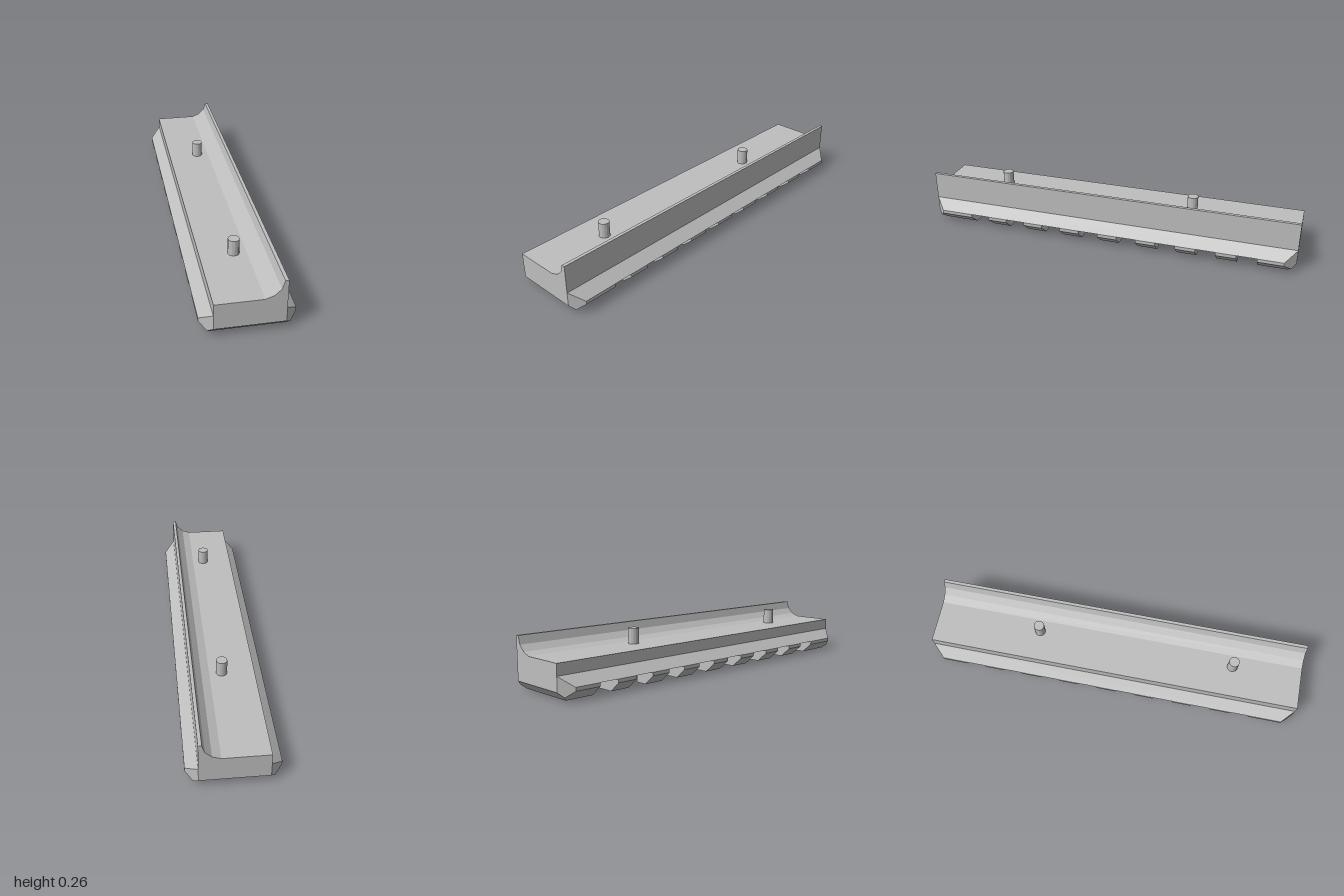
import * as THREE from 'three';
import { ConvexGeometry } from 'three/addons/geometries/ConvexGeometry.js';

const W = 0.164;      // half width of the body
const R = 0.222;      // half width of the rail
const ROOF = 0.068;   // top of the cross slots
const SEAT = 0.095;   // ceiling of the screw recesses
const SCREWS = [0.63, -0.43];

export function createModel() {
  const group = new THREE.Group();
  group.name = 'accessoryRail';
  const grey = new THREE.MeshStandardMaterial({ color: 0xbebebe });
  grey.name = 'grey';
  grey.flatShading = true;

  const add = (name, geometry) => {
    const mesh = new THREE.Mesh(geometry, grey);
    mesh.name = name;
    group.add(mesh);
    return mesh;
  };
  const shapeOf = (pts) => new THREE.Shape(pts.map(([x, y]) => new THREE.Vector2(x, y)));
  // Cross-section in x, y carried from z0 to z1
  const alongZ = (pts, z0, z1) =>
    new THREE.ExtrudeGeometry(shapeOf(pts), { depth: z1 - z0, bevelEnabled: false }).translate(0, 0, z0);
  // Plan shape (drawn in x, -z) raised from y0 to y1
  const upward = (shape, y0, y1) =>
    new THREE.ExtrudeGeometry(shape, { depth: y1 - y0, bevelEnabled: false, curveSegments: 12 })
      .rotateX(-Math.PI / 2).translate(0, y0, 0);
  const circle = (x, y, r) => new THREE.Path().absarc(x, y, r, 0, Math.PI * 2, true);
  const convex = (pts) => new ConvexGeometry(pts.map((p) => new THREE.Vector3(...p)));

  // Body with the curved lip along its left edge
  add('body', alongZ([
    [-W, SEAT], [W, SEAT], [W, 0.262], [0.147, 0.262], [0.134, 0.22],
    [0.103, 0.19], [0.062, 0.175], [-W, 0.175],
  ], -1, 1));

  // Underside layer with round screw recesses
  const base = shapeOf([[-W, -1], [W, -1], [W, 1], [-W, 1]]);
  SCREWS.forEach((z) => base.holes.push(circle(0, -z, 0.066)));
  add('underside', upward(base, ROOF, SEAT));

  // Sloping side wings with clipped corners
  for (const s of [1, -1]) {
    const pts = [];
    for (const e of [1, -1]) {
      pts.push([s * W, 0.117, e], [s * W, ROOF, e], [s * R, ROOF, e * 0.942]);
    }
    add(s > 0 ? 'leftWing' : 'rightWing', convex(pts));
  }

  // End teeth, chamfered at the corners and the bottom edge
  for (const [e, inner] of [[1, 0.766], [-1, -0.809]]) {
    const pts = [];
    for (const s of [1, -1]) {
      pts.push(
        [s * W, ROOF, e], [s * W, 0.043, e], [s * W, 0, e * 0.957], [s * 0.187, 0.02, e * 0.977],
        [s * R, 0.05, e * 0.942], [s * R, ROOF, e * 0.942],
        [s * W, 0, inner], [s * R, 0.05, inner], [s * R, ROOF, inner],
      );
    }
    add(e > 0 ? 'frontEndTooth' : 'backEndTooth', convex(pts));
  }

  // Middle teeth; those under a screw are open in the middle
  for (let i = 0; i < 7; i++) {
    const z = 0.61 - i * 0.2103;
    const z0 = z - 0.053, z1 = z + 0.053;
    if (i === 0 || i === 5) {
      for (const s of [1, -1]) {
        const half = [[0.1, 0], [W, 0], [R, 0.05], [R, ROOF], [0.1, ROOF]].map(([x, y]) => [s * x, y]);
        add('splitTooth', alongZ(half, z0, z1));
      }
    } else {
      add('tooth', alongZ([[-W, 0], [W, 0], [R, 0.05], [R, ROOF], [-R, ROOF], [-R, 0.05]], z0, z1));
    }
  }

  // Screws: shaft above, socket head in the recess below
  for (const z of SCREWS) {
    const shaft = add('screwShaft', new THREE.CylinderGeometry(0.028, 0.028, 0.155, 14));
    shaft.position.set(0, 0.1775, z);
    const ring = new THREE.Shape().absarc(0, 0, 0.05, 0, Math.PI * 2, false);
    ring.holes.push(circle(0, 0, 0.024));
    add('screwHead', upward(ring, 0.075, SEAT)).position.z = z;
  }
  return group;
}
